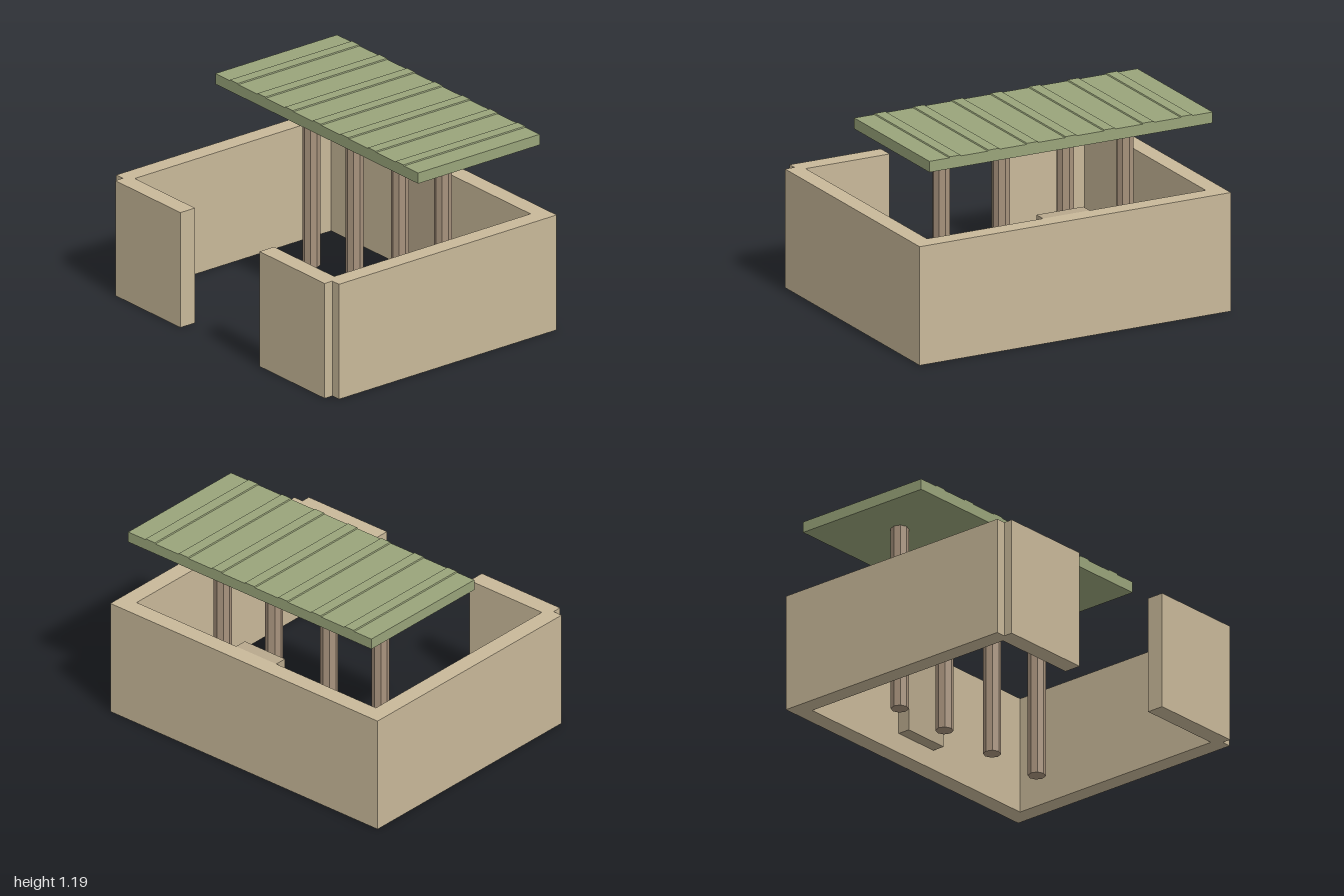
import * as THREE from 'three';

const wallMat = new THREE.MeshStandardMaterial({ color: 0xc8b899 });
const panelMat = new THREE.MeshStandardMaterial({ color: 0xb8a88c });
const postMat = new THREE.MeshStandardMaterial({ color: 0xa8937d, flatShading: true });
const roofMat = new THREE.MeshStandardMaterial({ color: 0x99a47a, flatShading: true });

export function createModel() {
  const group = new THREE.Group();

  const add = (name, geometry, material, x, y, z) => {
    const mesh = new THREE.Mesh(geometry, material);
    mesh.name = name;
    mesh.position.set(x, y, z);
    group.add(mesh);
  };
  // Box given by its limits on each axis
  const block = (name, material, [x0, x1], [y0, y1], [z0, z1]) =>
    add(name, new THREE.BoxGeometry(x1 - x0, y1 - y0, z1 - z0), material,
      (x0 + x1) / 2, (y0 + y1) / 2, (z0 + z1) / 2);

  // Courtyard walls, open in the middle of the front
  const H = 0.705;
  block('backWall', wallMat, [-1, 1], [0, H], [-0.815, -0.71]);
  block('rightWall', wallMat, [-1, -0.895], [0, H], [-0.71, 0.76]);
  block('leftWall', wallMat, [0.895, 1], [0, H], [-0.71, 0.76]);
  block('frontWallRight', wallMat, [-0.94, -0.355], [0, H], [0.71, 0.815]);
  block('frontWallLeft', wallMat, [0.355, 0.94], [0, H], [0.71, 0.815]);

  // Raised panel on the inside of the back wall
  block('backPanel', panelMat, [-0.15, 0.15], [0.12, H], [-0.71, -0.635]);

  // Row of octagonal posts
  const roofBottom = 1.118;
  for (const x of [-0.59, -0.205, 0.205, 0.59]) {
    add('post', new THREE.CylinderGeometry(0.051, 0.051, roofBottom, 8), postMat, x, roofBottom / 2, -0.322);
  }

  // Flat roof with seven shallow ribs running front to back
  const base = 0.065, ridge = 0.071, half = 0.91, depth = 0.88;
  const profile = new THREE.Shape();
  profile.moveTo(-half, 0);
  profile.lineTo(half, 0);
  profile.lineTo(half, base);
  for (let i = 3; i >= -3; i--) {
    const x = i * 0.248;
    profile.lineTo(x + 0.038, base);
    profile.lineTo(x + 0.034, ridge);
    profile.lineTo(x - 0.034, ridge);
    profile.lineTo(x - 0.038, base);
  }
  profile.lineTo(-half, base);
  add('roof', new THREE.ExtrudeGeometry(profile, { depth, bevelEnabled: false }), roofMat, 0, roofBottom, -0.765);

  return group;
}
